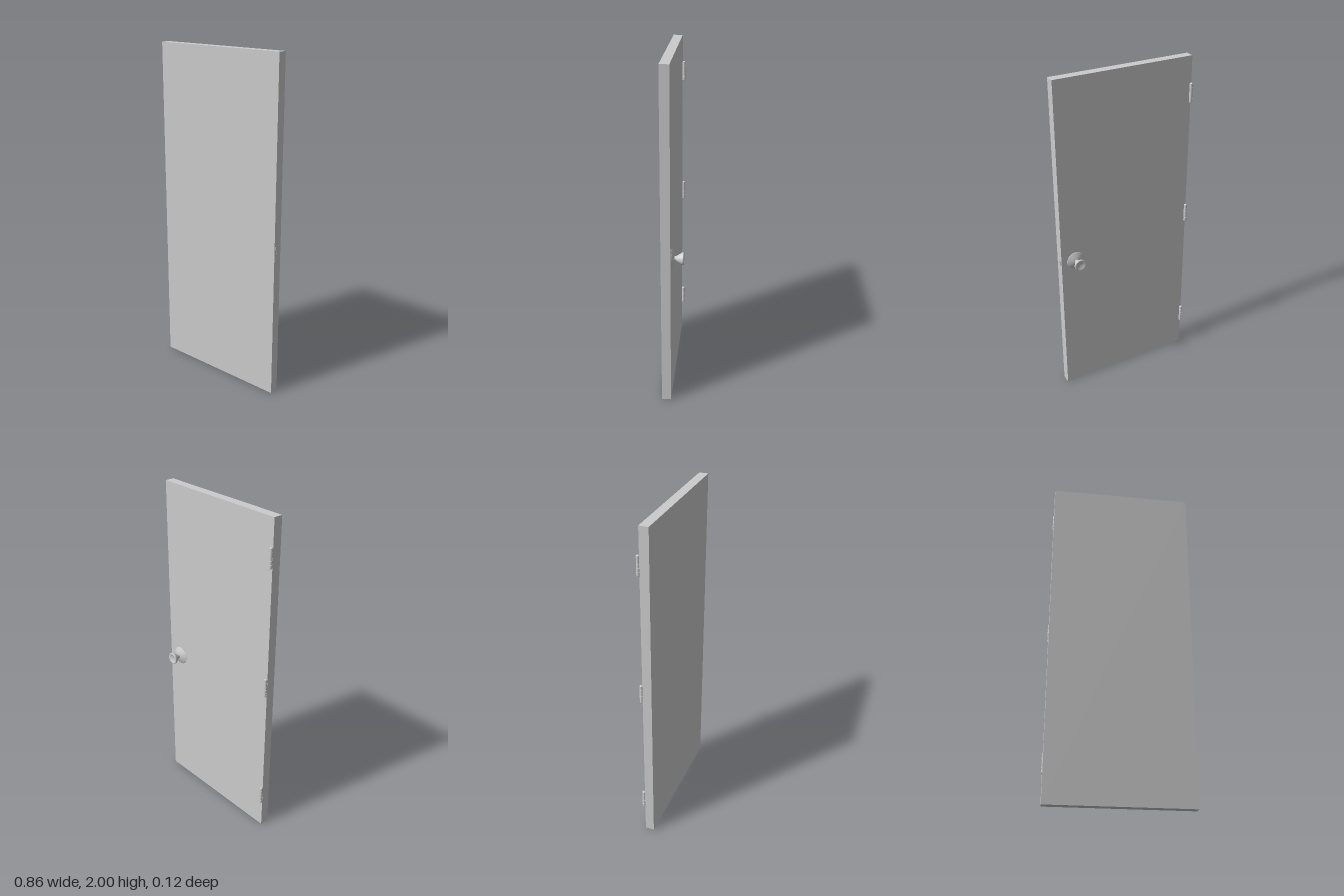
import * as THREE from 'three';

const material = new THREE.MeshStandardMaterial({ color: 0xcccccc });

function addMesh(parent, name, geometry, x = 0, y = 0, z = 0) {
  const mesh = new THREE.Mesh(geometry, material);
  mesh.name = name;
  mesh.position.set(x, y, z);
  parent.add(mesh);
  return mesh;
}

// Lathe from [radius, height] pairs
const lathe = (points, segments) =>
  new THREE.LatheGeometry(points.map(([r, h]) => new THREE.Vector2(r, h)), segments);

// Hinge barrel: five knuckles separated by narrow grooves, with domed pin caps
function createHinge(y) {
  const hinge = new THREE.Group();
  hinge.name = 'hinge';
  hinge.position.set(-0.42, y, -0.003);
  const count = 5, pitch = 0.022, length = 0.02;
  for (let i = 0; i < count; i++) {
    addMesh(hinge, 'hingeKnuckle', new THREE.CylinderGeometry(0.0095, 0.0095, length, 20),
      0, (i - (count - 1) / 2) * pitch, 0);
  }
  addMesh(hinge, 'hingePin', new THREE.CylinderGeometry(0.0075, 0.0075, 0.108, 16));
  for (const side of [1, -1]) {
    const cap = addMesh(hinge, 'hingePinCap',
      new THREE.SphereGeometry(0.0085, 16, 6, 0, Math.PI * 2, 0, Math.PI / 2), 0, side * 0.054, 0);
    cap.scale.y = 0.6;
    if (side < 0) cap.rotation.x = Math.PI;
  }
  return hinge;
}

// Round knob on a flared rose, its axis pointing to the back
function createKnob() {
  const knob = new THREE.Group();
  knob.name = 'knob';
  knob.position.set(0.335, 0.9, 0.006);
  knob.rotation.x = -Math.PI / 2;
  addMesh(knob, 'knobRose', lathe([
    [0.055, 0], [0.054, 0.002], [0.044, 0.006], [0.032, 0.011], [0.021, 0.015], [0.016, 0.016], [0, 0.016],
  ], 40));
  addMesh(knob, 'knobNeck', new THREE.CylinderGeometry(0.014, 0.014, 0.02, 32), 0, 0.02, 0);
  addMesh(knob, 'knobHandle', lathe([
    [0.013, 0.024], [0.017, 0.028], [0.025, 0.042], [0.033, 0.054], [0.0355, 0.06],
    [0.036, 0.065], [0.034, 0.068], [0.028, 0.068], [0.023, 0.065], [0.012, 0.062], [0, 0.061],
  ], 40));
  return knob;
}

export function createModel() {
  const door = new THREE.Group();
  door.name = 'door';

  // Plain slab
  addMesh(door, 'doorPanel', new THREE.BoxGeometry(0.85, 2, 0.054), 0, 1, 0.033);

  // Latch plate and bolt on the free edge
  addMesh(door, 'latchPlate', new THREE.BoxGeometry(0.002, 0.07, 0.034), 0.4255, 0.9, 0.034);
  addMesh(door, 'latchBolt', new THREE.BoxGeometry(0.002, 0.02, 0.014), 0.4262, 0.9, 0.034);

  door.add(createKnob());
  for (const y of [0.238, 1.015, 1.787]) door.add(createHinge(y));
  return door;
}
